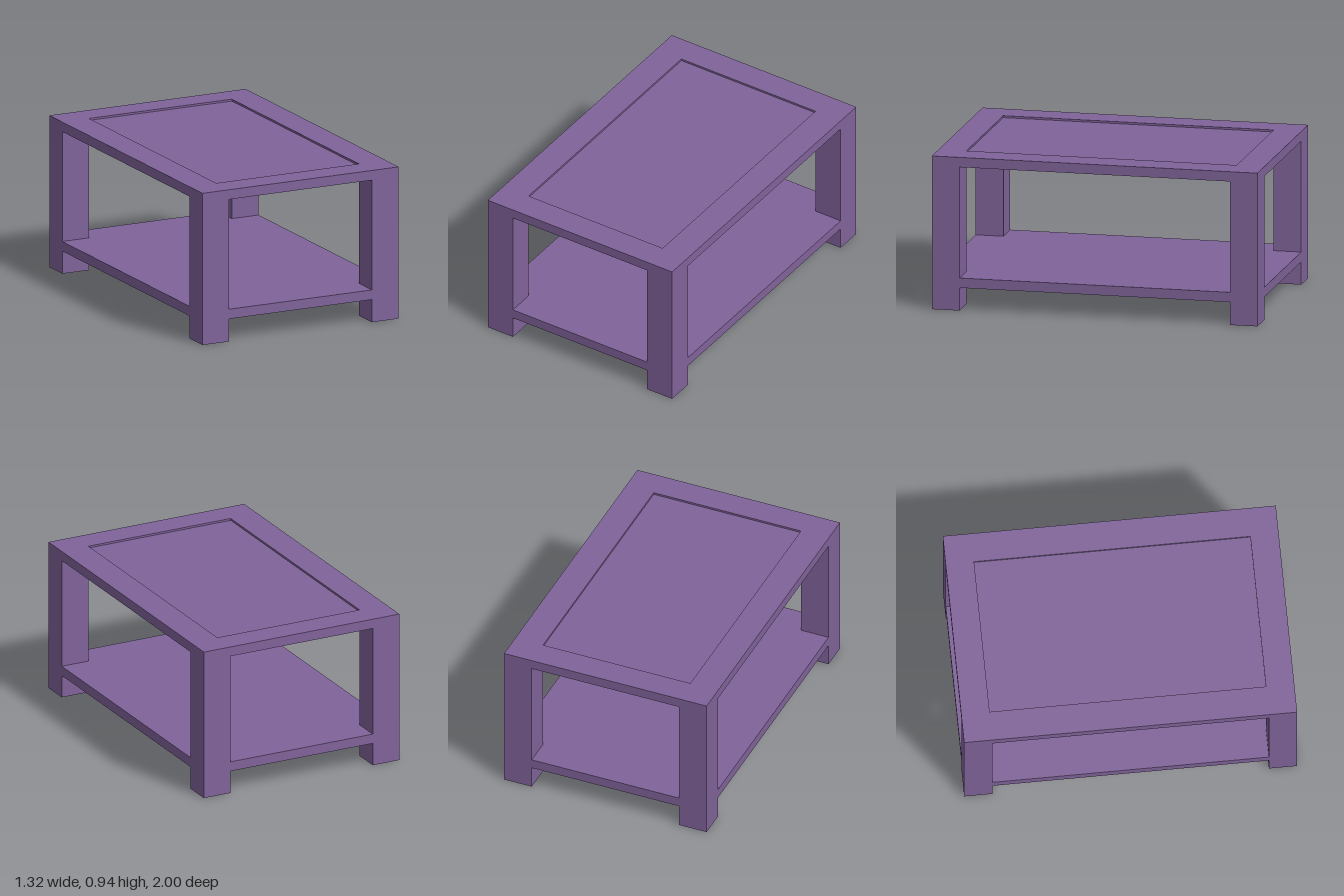
import * as THREE from 'three';

// Half extents of the table and of the space between the legs
const W = 0.66, D = 1.0, IW = 0.48, ID = 0.83;
const TOP = 0.94, SLAB = 0.06, SHELF_Y = 0.14;

const shapeFrom = (pts) => new THREE.Shape(pts.map(([x, z]) => new THREE.Vector2(x, z)));

// Horizontal slab: a plan outline extruded upwards from height y
function slab(shape, y, height) {
  const geo = new THREE.ExtrudeGeometry(shape, { depth: height, bevelEnabled: false });
  geo.rotateX(-Math.PI / 2);
  geo.translate(0, y, 0);
  return geo;
}

export function createModel() {
  const group = new THREE.Group();
  group.name = 'coffeeTable';
  const material = new THREE.MeshStandardMaterial({ color: 0x80639a });

  const add = (name, geo) => {
    const mesh = new THREE.Mesh(geo, material);
    mesh.name = name;
    group.add(mesh);
    return mesh;
  };

  // Tabletop frame with a rectangular opening
  const frame = shapeFrom([[-W, -D], [W, -D], [W, D], [-W, D]]);
  frame.holes.push(shapeFrom([[-IW, -ID], [-IW, ID], [IW, ID], [IW, -ID]]));
  add('tabletopFrame', slab(frame, TOP - SLAB, SLAB));

  // Panel slightly recessed above and below within the frame
  const recess = 0.012;
  add('tabletopPanel', new THREE.BoxGeometry(IW * 2, SLAB - recess * 2, ID * 2))
    .position.y = TOP - SLAB / 2;

  // Lower shelf, flush with the outer faces and notched around the legs
  const shelf = shapeFrom([
    [-IW, -D], [IW, -D], [IW, -ID], [W, -ID], [W, ID], [IW, ID],
    [IW, D], [-IW, D], [-IW, ID], [-W, ID], [-W, -ID], [-IW, -ID],
  ]);
  add('shelf', slab(shelf, SHELF_Y, SLAB));

  // Four corner legs
  const legHeight = TOP - SLAB;
  const legGeo = new THREE.BoxGeometry(W - IW, legHeight, D - ID);
  for (const [sx, side] of [[1, 'Left'], [-1, 'Right']]) {
    for (const [sz, end] of [[1, 'front'], [-1, 'back']]) {
      add(`${end}${side}Leg`, legGeo)
        .position.set(sx * (W + IW) / 2, legHeight / 2, sz * (D + ID) / 2);
    }
  }

  return group;
}
